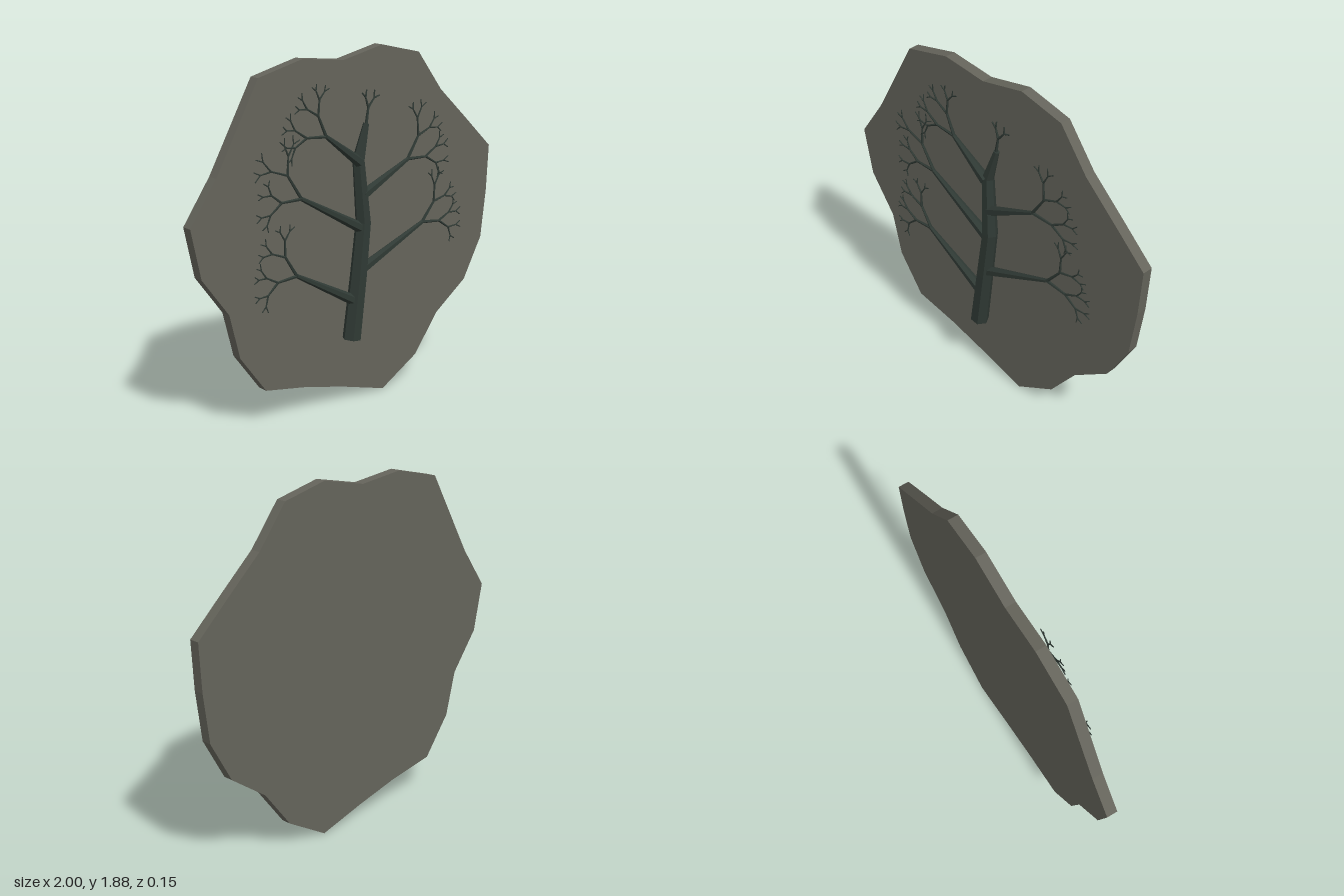
import * as THREE from 'three';
import { mergeGeometries } from 'three/addons/utils/BufferGeometryUtils.js';

const stone = new THREE.MeshStandardMaterial({ color: 0x65645b });
stone.name = 'stone';
const bark = new THREE.MeshStandardMaterial({ color: 0x2f3934 });
bark.name = 'bark';

// Faceted tapering limb through points [x, y, z, radius], capped at both ends
function limb(points, sides = 6) {
  const pos = [], index = [];
  const last = points.length - 1;
  points.forEach(([x, y, z, r], i) => {
    const a = points[Math.max(i - 1, 0)], b = points[Math.min(i + 1, last)];
    const len = Math.hypot(b[0] - a[0], b[1] - a[1]);
    const nx = (b[1] - a[1]) / len, ny = -(b[0] - a[0]) / len;
    for (let j = 0; j < sides; j++) {
      const t = (j / sides) * Math.PI * 2, c = Math.cos(t) * r;
      pos.push(x + nx * c, y + ny * c, z + Math.sin(t) * r);
    }
  });
  for (let i = 0; i < last; i++) {
    for (let j = 0; j < sides; j++) {
      const k = (j + 1) % sides, a = i * sides, b = a + sides;
      index.push(a + j, b + k, a + k, a + j, b + j, b + k);
    }
  }
  const end = last * sides;
  for (let j = 1; j < sides - 1; j++) {
    index.push(0, j, j + 1, end, end + j + 1, end + j);
  }
  const geo = new THREE.BufferGeometry();
  geo.setAttribute('position', new THREE.Float32BufferAttribute(pos, 3));
  geo.setIndex(index);
  const flat = geo.toNonIndexed();
  flat.computeVertexNormals();
  return flat;
}

// Twig that forks in two, each fork shorter and thinner
function fork(out, x, y, z, angle, length, radius, depth) {
  const ex = x + Math.cos(angle) * length, ey = y + Math.sin(angle) * length;
  out.push(limb([[x, y, z, radius], [ex, ey, z, radius * 0.7]], 5));
  if (depth === 0) return;
  for (const side of [-1, 1]) {
    const wobble = Math.sin(ex * 47 + ey * 31 + side * 2) * 0.1;
    fork(out, ex, ey, z, angle + side * 0.56 + wobble, length * (0.65 + wobble * 0.4),
      radius * 0.75, depth - 1);
  }
}

function forkTo(out, from, to, z, radius, depth) {
  const dx = to[0] - from[0], dy = to[1] - from[1];
  fork(out, from[0], from[1], z, Math.atan2(dy, dx), Math.hypot(dx, dy), radius, depth);
}

export function createModel() {
  const model = new THREE.Group();
  const add = (name, geometry, material) => {
    const mesh = new THREE.Mesh(geometry, material);
    mesh.name = name;
    model.add(mesh);
  };

  // Irregular stone slab
  const outline = [
    [-0.59, 1.785], [-0.32, 1.85], [-0.06, 1.82], [0.2, 1.875], [0.455, 1.815], [0.62, 1.6],
    [0.82, 1.415], [1, 1.245], [0.985, 0.99], [0.95, 0.725], [0.825, 0.5], [0.615, 0.35],
    [0.455, 0.14], [0.215, 0], [-0.055, 0.08], [-0.305, 0.145], [-0.575, 0.195], [-0.73, 0.405],
    [-0.79, 0.645], [-0.945, 0.855], [-1, 1.115], [-0.845, 1.335],
  ].map(([x, y]) => new THREE.Vector2(x, y));
  const slab = new THREE.ExtrudeGeometry(new THREE.Shape(outline), { depth: 0.058, bevelEnabled: false });
  slab.translate(0, 0, -0.076);
  add('slab', slab, stone);

  // Trunk, bending twice and ending in a narrow stub
  add('trunk', limb([
    [-0.045, 0.36, 0.026, 0.05], [0.0, 0.7, 0.028, 0.046], [0.034, 0.98, 0.026, 0.042],
    [0.01, 1.31, 0.016, 0.033], [0.065, 1.49, 0.012, 0.016],
  ]), bark);

  // Crown twigs
  const crown = [];
  forkTo(crown, [0.063, 1.48], [0.078, 1.57], 0.014, 0.009, 2);
  add('crownTwigs', mergeGeometries(crown), bark);

  // Boughs: root on the trunk, tip, then the ends of the two forks at the tip
  const boughs = [
    ['lowerRightBough', [-0.03, 0.57], [-0.41, 0.78], [-0.48, 0.89], [-0.53, 0.77]],
    ['middleRightBough', [0.02, 0.95], [-0.375, 1.17], [-0.46, 1.3], [-0.5, 1.17]],
    ['upperRightBough', [0.005, 1.3], [-0.215, 1.46], [-0.265, 1.57], [-0.34, 1.47]],
    ['lowerLeftBough', [0.01, 0.725], [0.445, 0.91], [0.53, 1.01], [0.57, 0.895]],
    ['upperLeftBough', [0.03, 1.125], [0.335, 1.27], [0.41, 1.385], [0.465, 1.265]],
  ];
  for (const [name, root, tip, forkA, forkB] of boughs) {
    const parts = [limb([[...root, 0.03, 0.029], [...tip, 0.034, 0.011]])];
    forkTo(parts, tip, forkA, 0.034, 0.009, 3);
    forkTo(parts, tip, forkB, 0.034, 0.009, 3);
    add(name, mergeGeometries(parts), bark);
  }
  return model;
}
